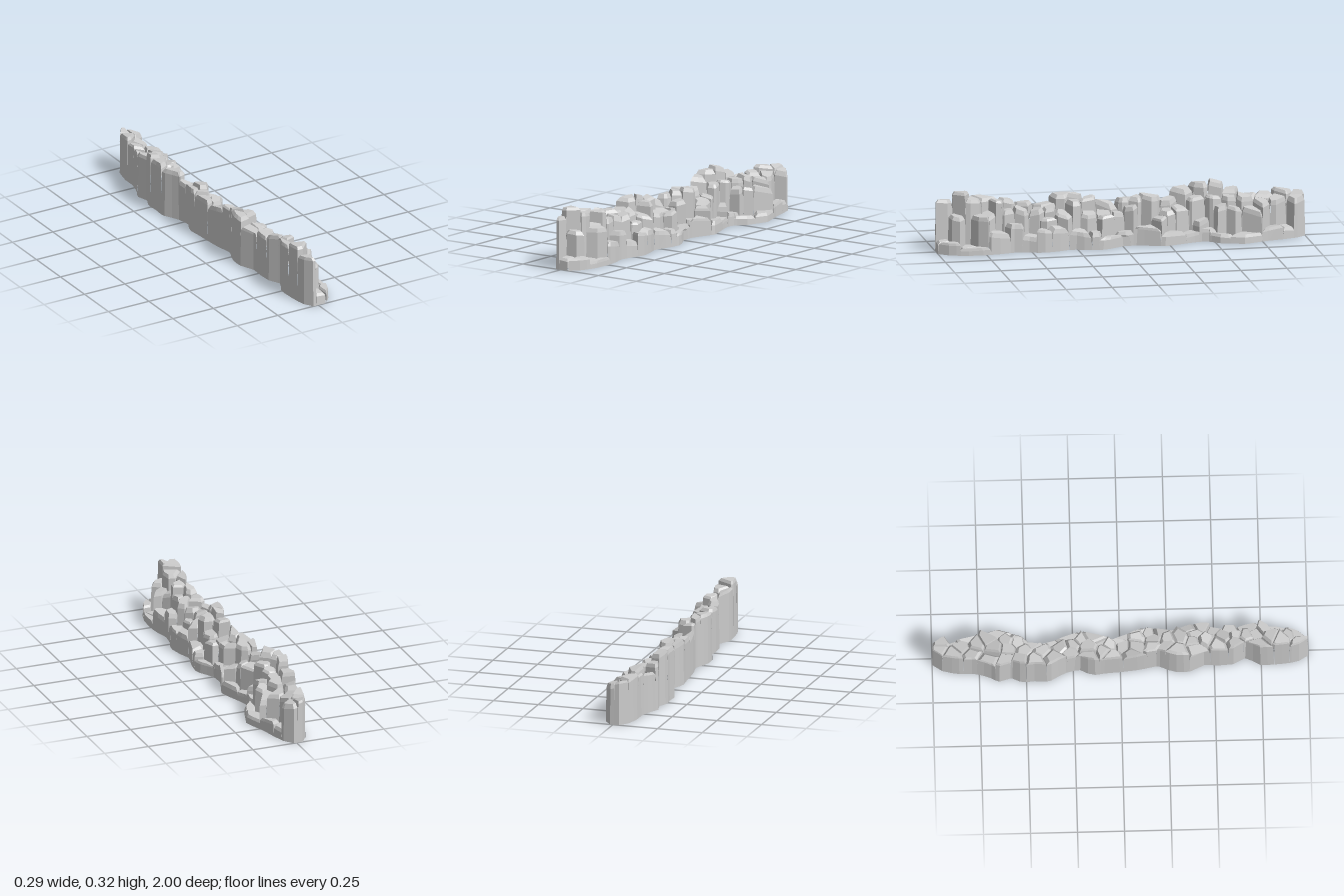
import * as THREE from 'three';

// Stations along the ridge: [z, left edge x, right edge x, crest height, ledge height]
const STATIONS = [
  [-1, -0.035, 0.015, 0.23, 0.2], [-0.95, -0.07, 0.055, 0.235, 0.13], [-0.87, -0.09, 0.08, 0.25, 0.04],
  [-0.78, -0.09, 0.1, 0.24, 0.09], [-0.7, -0.11, 0.13, 0.22, 0.08], [-0.65, -0.14, 0.147, 0.26, 0.05],
  [-0.58, -0.12, 0.125, 0.285, 0.04], [-0.52, -0.147, 0.105, 0.305, 0.06], [-0.46, -0.14, 0.045, 0.3, 0.07],
  [-0.38, -0.145, 0.06, 0.28, 0.05], [-0.3, -0.1, 0.09, 0.22, 0.05], [-0.22, -0.08, 0.115, 0.22, 0.09],
  [-0.15, -0.115, 0.09, 0.26, 0.1], [-0.08, -0.105, 0.065, 0.24, 0.08], [0, -0.1, 0.07, 0.22, 0.04],
  [0.1, -0.09, 0.13, 0.22, 0.07], [0.2, -0.07, 0.12, 0.26, 0.06], [0.28, -0.105, 0.09, 0.285, 0.06],
  [0.36, -0.11, 0.12, 0.23, 0.14], [0.45, -0.07, 0.137, 0.22, 0.09], [0.52, -0.075, 0.11, 0.24, 0.05],
  [0.6, -0.07, 0.1, 0.27, 0.15], [0.67, -0.035, 0.12, 0.28, 0.09], [0.75, -0.08, 0.13, 0.28, 0.04],
  [0.85, -0.075, 0.125, 0.315, 0.04], [0.94, -0.065, 0.1, 0.29, 0.06], [1, -0.03, 0.05, 0.27, 0.09],
];

// Linear interpolation of a station column at z
function at(z, column) {
  let i = 0;
  while (i < STATIONS.length - 2 && STATIONS[i + 1][0] < z) i++;
  const a = STATIONS[i], b = STATIONS[i + 1];
  const t = THREE.MathUtils.clamp((z - a[0]) / (b[0] - a[0]), 0, 1);
  return a[column] + (b[column] - a[column]) * t;
}

let seed = 7;
function random(lo, hi) {
  seed = (seed * 16807) % 2147483647;
  return lo + (hi - lo) * (seed / 2147483647);
}

// Rock centres in rough rows, stepping down from the crest (-x) to the ledge (+x)
function makeSites() {
  const sites = [];
  const rows = 23;
  for (let r = 0; r < rows; r++) {
    const z0 = -0.95 + (1.9 * r) / (rows - 1);
    const width = at(z0, 2) - at(z0, 1);
    let steps = width < 0.14 ? [1, 0.45] : width < 0.2 ? [1, 0.72, 0.05] : [1, 0.85, 0.5, 0];
    if (r === 0) steps = [1, 0.85];
    if (r === rows - 1) steps = [0.95, 0, 0];
    const end = r === 0 || r === rows - 1;
    steps.forEach((step, i) => {
      const z = z0 + (end ? 0 : random(-0.03, 0.03) + (i % 2 ? 0.02 : -0.02));
      const l = at(z, 1), w = at(z, 2) - l;
      const x = l + w * ((i + 0.5 + random(-0.17, 0.17)) / steps.length);
      const crest = at(z, 3), ledge = at(z, 4);
      const jitter = end ? 0 : i === 0 ? random(-0.14, 0.1) : random(-0.18, 0.18);
      const rise = THREE.MathUtils.clamp(step + jitter, 0, 1);
      sites.push({ x, z, h: Math.max(ledge + (crest - ledge) * rise, 0.035) });
    });
  }
  return sites;
}

// Keep the part of a polygon nearer to site a than to site b.
// Each corner is [x, z, neighbour across the edge that starts there].
function clipToSite(poly, a, b) {
  const nx = b.x - a.x, nz = b.z - a.z;
  const mid = (nx * (a.x + b.x) + nz * (a.z + b.z)) / 2;
  const side = (p) => p[0] * nx + p[1] * nz - mid;
  const out = [];
  poly.forEach((p, i) => {
    const q = poly[(i + 1) % poly.length];
    const dp = side(p), dq = side(q);
    if (dp <= 0) out.push(p);
    if (dp * dq < 0) {
      const t = dp / (dp - dq);
      out.push([p[0] + (q[0] - p[0]) * t, p[1] + (q[1] - p[1]) * t, dp < 0 ? b : p[2]]);
    }
  });
  return out;
}

// Footprint of one rock: its cell among the neighbours, held inside the outline
function footprint(site, sites) {
  const a = 0.1, b = 0.12;
  let poly = [];
  for (let i = 0; i <= 6; i++) poly.push([site.x - a, site.z - b + (i * b) / 3, null]);
  for (let i = 6; i >= 0; i--) poly.push([site.x + a, site.z - b + (i * b) / 3, null]);
  for (const other of sites) if (other !== site) poly = clipToSite(poly, site, other);
  poly = poly.map(([x, z, neighbour]) => {
    const cz = THREE.MathUtils.clamp(z, -1, 1);
    return [THREE.MathUtils.clamp(x, at(cz, 1), at(cz, 2)), cz, neighbour];
  });
  return poly.filter((p, i) => {
    const q = poly[(i + 1) % poly.length];
    return Math.hypot(p[0] - q[0], p[1] - q[1]) > 0.004;
  });
}

// Tapered rock with a chipped shoulder and a tilted top, open underneath.
// Walls reach the ground outside, and only just below a lower neighbour inside.
function rockGeometry(poly, height) {
  const n = poly.length;
  const cx = poly.reduce((s, p) => s + p[0], 0) / n;
  const cz = poly.reduce((s, p) => s + p[1], 0) / n;
  const steep = Math.min(1, height / 0.12);
  const tiltX = random(-0.32, 0.08) * steep, tiltZ = random(-0.25, 0.25) * steep;
  const bevel = Math.min(random(0.01, 0.026), height * 0.35);
  const ring = (scale, y) => poly.map(([x, z]) => {
    const dx = (x - cx) * scale, dz = (z - cz) * scale;
    return [cx + dx, y + dx * tiltX + dz * tiltZ, cz + dz];
  });
  const shoulder = ring(0.93, height - bevel);
  const top = ring(random(0.62, 0.8), height);
  const positions = [];
  const triangle = (...corners) => corners.forEach((c) => positions.push(...c));
  poly.forEach(([x, z, neighbour], i) => {
    const j = (i + 1) % n;
    const foot = neighbour ? Math.max(0, Math.min(height, neighbour.h) - 0.05) : 0;
    const a = [x, foot, z], b = [poly[j][0], foot, poly[j][1]];
    triangle(a, b, shoulder[j]);
    triangle(a, shoulder[j], shoulder[i]);
    triangle(shoulder[i], shoulder[j], top[j]);
    triangle(shoulder[i], top[j], top[i]);
    if (i > 0 && i < n - 1) triangle(top[0], top[i], top[j]);
  });
  const geometry = new THREE.BufferGeometry();
  geometry.setAttribute('position', new THREE.Float32BufferAttribute(positions, 3));
  geometry.computeVertexNormals();
  return geometry;
}

export function createModel() {
  seed = 7;
  const group = new THREE.Group();
  group.name = 'rockRidge';
  const stone = new THREE.MeshStandardMaterial({ color: 0xcccccc, flatShading: true, side: THREE.DoubleSide });
  const sites = makeSites();
  for (const site of sites) {
    const poly = footprint(site, sites);
    if (poly.length < 3) continue;
    const rock = new THREE.Mesh(rockGeometry(poly, site.h), stone);
    rock.name = 'rock';
    group.add(rock);
  }
  return group;
}
